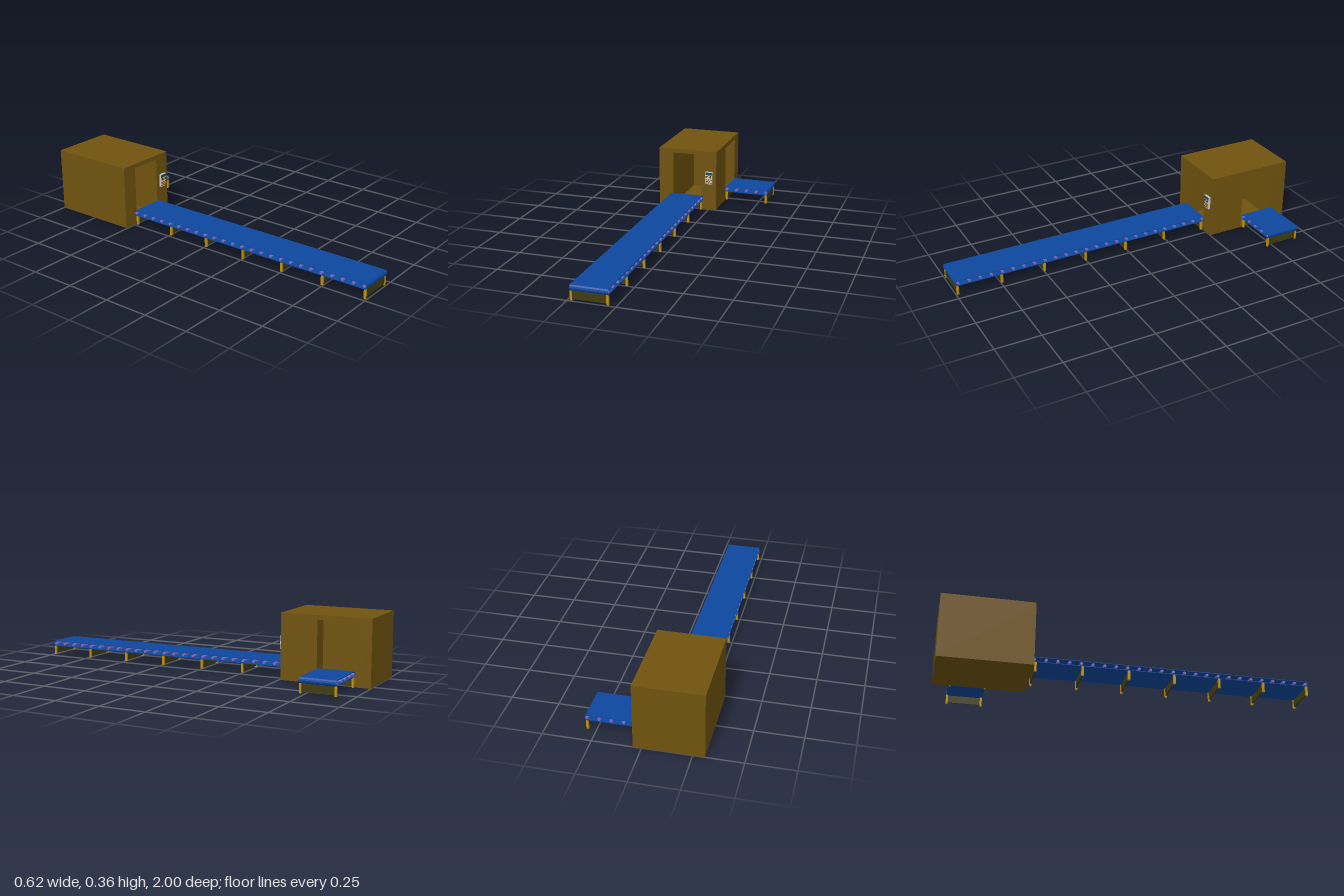
import * as THREE from 'three';

const paint = (name, color) => {
  const m = new THREE.MeshStandardMaterial({ color });
  m.name = name;
  return m;
};

export function createModel() {
  const brown = paint('housing brown', 0x70530e);
  const blue = paint('belt blue', 0x0d479e);
  const gold = paint('leg gold', 0xc0920f);
  const olive = paint('brace olive', 0x403c10);
  const purple = paint('roller purple', 0x7a6cc8);
  const grey = paint('panel grey', 0xc8c8c8);
  const teal = paint('screen teal', 0x14505f);
  const dark = paint('knob dark', 0x3a2c10);

  const model = new THREE.Group();
  model.name = 'conveyorMachine';

  const add = (parent, name, geometry, material, x = 0, y = 0, z = 0) => {
    const mesh = new THREE.Mesh(geometry, material);
    mesh.name = name;
    mesh.position.set(x, y, z);
    parent.add(mesh);
    return mesh;
  };
  // box given by its lower and upper corners
  const box = (parent, name, material, x0, x1, y0, y1, z0, z1) =>
    add(parent, name, new THREE.BoxGeometry(x1 - x0, y1 - y0, z1 - z0), material,
      (x0 + x1) / 2, (y0 + y1) / 2, (z0 + z1) / 2);

  // housing with an L-shaped tunnel from the front to the left side
  const housing = new THREE.Group();
  housing.name = 'housing';
  model.add(housing);
  const floor = 0.01, ceiling = 0.333;
  box(housing, 'housingFloor', brown, -0.311, 0.043, 0, floor, -1, -0.506);
  box(housing, 'housingRoof', brown, -0.311, 0.043, ceiling, 0.357, -1, -0.506);
  box(housing, 'sideWall', brown, -0.311, -0.223, floor, ceiling, -1, -0.506);
  box(housing, 'backWall', brown, -0.223, 0.043, floor, ceiling, -1, -0.915);
  box(housing, 'cornerPost', brown, -0.045, 0.043, floor, ceiling, -0.708, -0.506);

  // belt loop with pointed-round ends, running along x from 0 to length
  const beltPoints = (length, inset) => {
    const h = 0.015 - inset, a = inset, b = length - inset;
    return [[a, 0], [a + 0.002, -h * 0.55], [a + 0.007, -h], [b - 0.007, -h], [b - 0.002, -h * 0.55],
      [b, 0], [b - 0.002, h * 0.55], [b - 0.007, h], [a + 0.007, h], [a + 0.002, h * 0.55]]
      .map(([x, y]) => new THREE.Vector2(x, y));
  };
  const width = 0.197, beltY = 0.067;

  const conveyor = (name, length, rollerStart, rollers, legStart, legGap, legs) => {
    const g = new THREE.Group();
    g.name = name;
    const shape = new THREE.Shape(beltPoints(length, 0));
    shape.holes.push(new THREE.Path(beltPoints(length, 0.0035)));
    const belt = new THREE.ExtrudeGeometry(shape, { depth: width, bevelEnabled: false });
    add(g, 'belt', belt, blue, 0, beltY, -width / 2);

    const rollerGeometry = new THREE.CylinderGeometry(0.0085, 0.0085, width + 0.002, 6);
    rollerGeometry.rotateX(Math.PI / 2);
    for (let i = 0; i < rollers; i++) {
      add(g, 'roller', rollerGeometry, purple, rollerStart + i * 0.0617, beltY, 0);
    }
    // pairs of legs joined by a brace plate
    for (let i = 0; i < legs; i++) {
      const x = legStart + i * legGap;
      for (const s of [-1, 1]) {
        add(g, 'leg', new THREE.BoxGeometry(0.012, 0.052, 0.011), gold, x, 0.026, s * (width / 2 - 0.0055));
      }
      box(g, 'legBrace', olive, x - 0.003, x + 0.003, 0.008, 0.049, -width / 2 + 0.011, width / 2 - 0.011);
    }
    model.add(g);
    return g;
  };

  const main = conveyor('longConveyor', 1.51, 0.013, 25, 0.02, 0.2465, 7);
  main.rotation.y = -Math.PI / 2;
  main.position.set(-0.137, 0, -0.51);

  const side = conveyor('shortConveyor', 0.27, 0.012, 5, 0.0135, 0.2445, 2);
  side.position.set(0.038, 0, -0.815);

  // control panel on the front of the corner post
  const panel = new THREE.Group();
  panel.name = 'controlPanel';
  panel.position.z = -0.506;
  model.add(panel);
  box(panel, 'panelCase', grey, -0.022, 0.022, 0.16, 0.234, 0, 0.012);
  box(panel, 'screen', teal, -0.02, 0.02, 0.216, 0.231, 0.012, 0.014);
  const knob = new THREE.CylinderGeometry(0.005, 0.005, 0.007, 8);
  knob.rotateX(Math.PI / 2);
  for (const x of [-0.012, 0.012]) {
    add(panel, 'knob', knob, dark, x, 0.207, 0.0155);
    box(panel, 'knobMark', gold, x - 0.0015, x + 0.0015, 0.195, 0.201, 0.012, 0.014);
  }
  for (let row = 0; row < 3; row++) {
    for (let col = 0; col < 5; col++) {
      const x = -0.016 + col * 0.008, y = 0.187 - row * 0.0095;
      box(panel, 'button', (row + col) % 2 ? gold : dark,
        x - 0.0025, x + 0.0025, y - 0.0025, y + 0.0025, 0.012, 0.015);
    }
  }
  return model;
}
